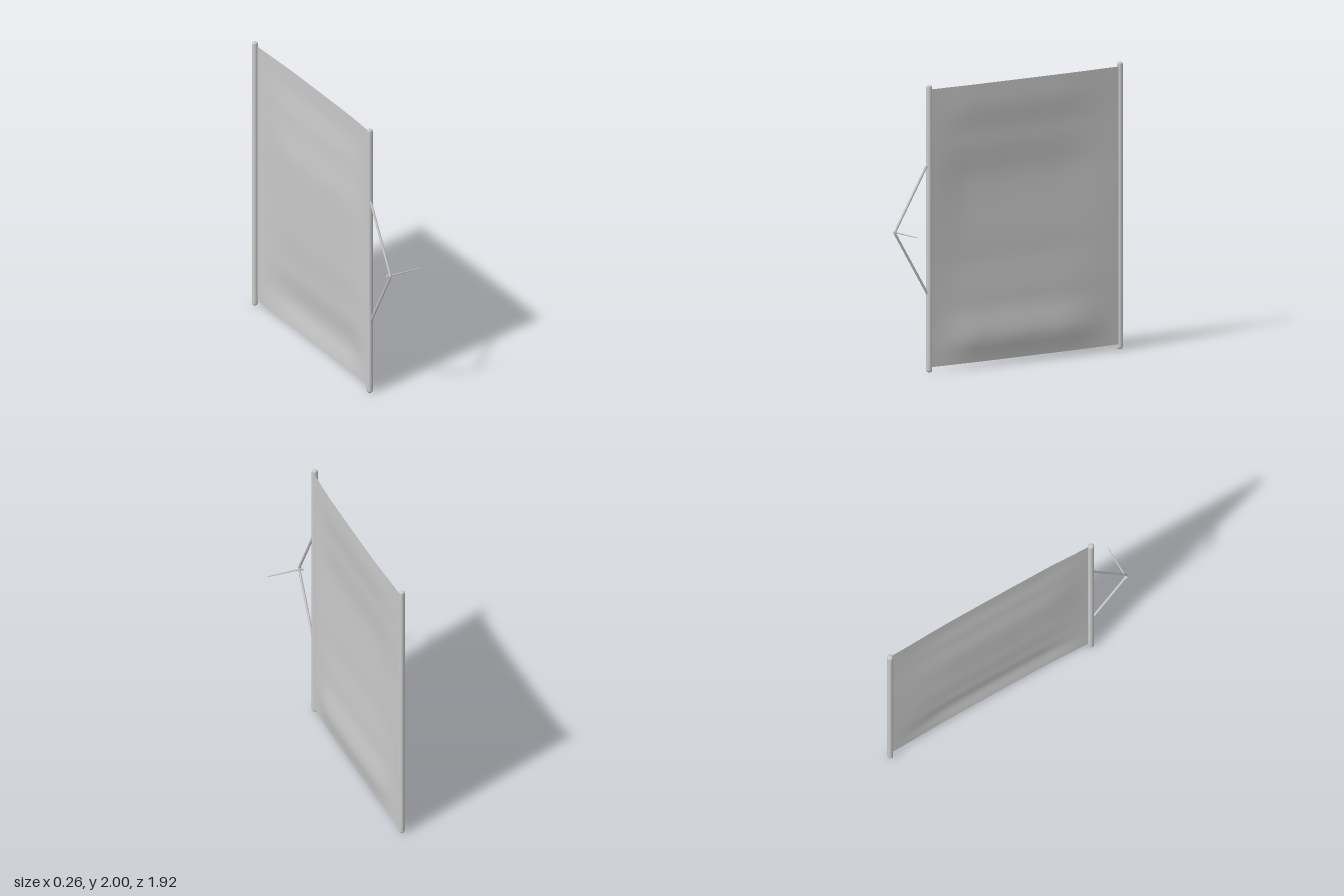
import * as THREE from 'three';

const X = -0.11; // plane of the poles and cord
const Z_NEAR = 0.66, Z_FAR = -0.94;

function piecewise(points, t) {
  // smooth interpolation through [position, value] pairs
  for (let i = 1; i < points.length; i++) {
    const [a, va] = points[i - 1], [b, vb] = points[i];
    if (t <= b) return va + (vb - va) * THREE.MathUtils.smoothstep(t, a, b);
  }
  return points[points.length - 1][1];
}

export function createModel() {
  const group = new THREE.Group();
  const grey = new THREE.MeshStandardMaterial({ color: 0xcccccc });
  const cloth = new THREE.MeshStandardMaterial({ color: 0xcccccc, side: THREE.DoubleSide });

  const add = (name, geometry, material = grey) => {
    const mesh = new THREE.Mesh(geometry, material);
    mesh.name = name;
    group.add(mesh);
    return mesh;
  };

  // Two upright poles with softly rounded ends
  const r = 0.021;
  const profile = [
    [0, 0], [0.012, 0.001], [0.018, 0.006], [r, 0.015],
    [r, 1.985], [0.018, 1.994], [0.012, 1.999], [0, 2],
  ].map(([x, y]) => new THREE.Vector2(x, y));
  for (const [name, z] of [['nearPole', Z_NEAR], ['farPole', Z_FAR]]) {
    add(name, new THREE.LatheGeometry(profile, 16)).position.set(X, 0, z);
  }

  // Hanging sheet, billowing gently between the poles
  const heightWave = [
    [0.035, 0.012], [0.2, 0.036], [0.45, 0.01], [0.8, -0.006],
    [1.3, -0.019], [1.6, -0.003], [1.85, 0.013], [1.97, 0.012],
  ];
  const widthFade = [[-0.94, 0], [-0.4, 0.95], [-0.05, 1], [0.28, 0.9], [0.66, 0]];
  const sheet = new THREE.PlaneGeometry(Z_NEAR - Z_FAR, 1.935, 32, 40);
  sheet.rotateY(Math.PI / 2);
  sheet.translate(0, 1.0025, (Z_NEAR + Z_FAR) / 2);
  const p = sheet.attributes.position;
  for (let i = 0; i < p.count; i++) {
    p.setX(i, -0.1 + piecewise(heightWave, p.getY(i)) * piecewise(widthFade, p.getZ(i)));
  }
  sheet.computeVertexNormals();
  add('sheet', sheet, cloth);

  // Cord tied to the near pole and looped over the nail
  const cordPath = new THREE.CurvePath();
  const v = (y, z) => new THREE.Vector3(X, y, z);
  cordPath.add(new THREE.LineCurve3(v(1.46, 0.67), v(1.015, 0.942)));
  cordPath.add(new THREE.QuadraticBezierCurve3(v(1.015, 0.942), v(1, 0.952), v(0.985, 0.942)));
  cordPath.add(new THREE.LineCurve3(v(0.985, 0.942), v(0.54, 0.67)));
  add('cord', new THREE.TubeGeometry(cordPath, 80, 0.009, 8));

  // Nail holding the cord: tapered shaft and flat head
  const nail = new THREE.Group();
  nail.name = 'nail';
  const shaft = add('nailShaft', new THREE.CylinderGeometry(0.003, 0.006, 0.255, 8));
  shaft.position.y = 0.1275;
  const head = add('nailHead', new THREE.CylinderGeometry(0.012, 0.013, 0.012, 12));
  nail.add(shaft, head);
  nail.rotation.z = -Math.PI / 2;
  nail.position.set(-0.125, 1, 0.935);
  group.add(nail);

  return group;
}
